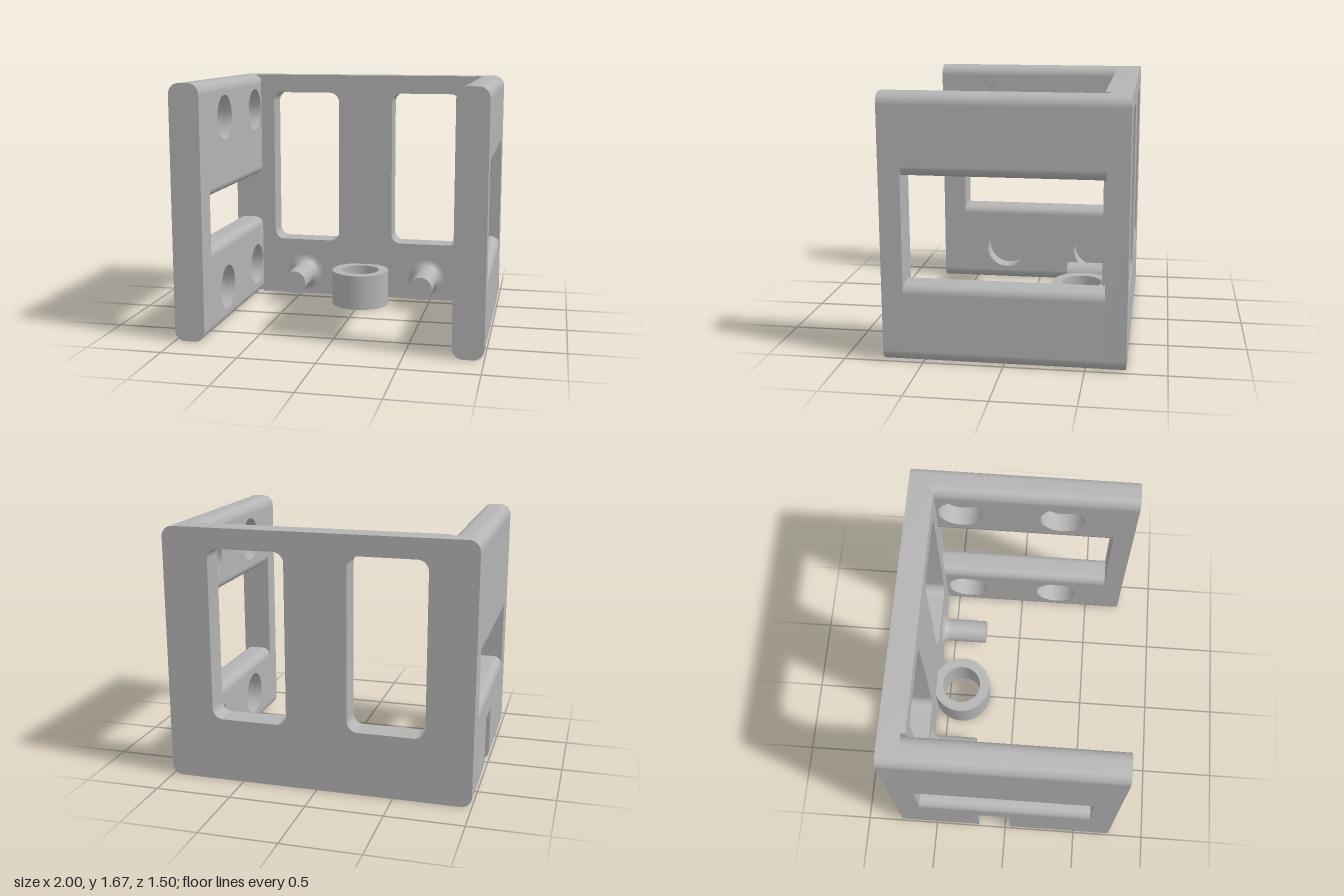
import * as THREE from 'three';
import { toCreasedNormals } from 'three/addons/utils/BufferGeometryUtils.js';

const grey = new THREE.MeshStandardMaterial({ color: 0xb4b4b4 });
grey.name = 'plain grey';

const FRONT = 0.75, BACK = -0.75, TOP = 1.67;
const PLATE = -0.585;   // front face of the back plate
const STEP = -0.615;    // where the side walls begin
const R = 0.07;         // edge rounding
const HOLES_Z = [0.26, -0.42], HOLE_R = 0.15;
const NOTCH = { z0: -0.19, z1: 0.035, top: 0.39 };

function add(parent, name, geometry) {
  const mesh = new THREE.Mesh(toCreasedNormals(geometry, 0.5), grey);
  mesh.name = name;
  parent.add(mesh);
  return mesh;
}

// Rectangle path with a separate radius for the lower and upper corners
function roundRect(path, x0, y0, x1, y1, rb, rt = rb) {
  path.moveTo(x0 + rb, y0);
  path.lineTo(x1 - rb, y0);
  if (rb) path.absarc(x1 - rb, y0 + rb, rb, -Math.PI / 2, 0, false);
  path.lineTo(x1, y1 - rt);
  if (rt) path.absarc(x1 - rt, y1 - rt, rt, 0, Math.PI / 2, false);
  path.lineTo(x0 + rt, y1);
  if (rt) path.absarc(x0 + rt, y1 - rt, rt, Math.PI / 2, Math.PI, false);
  path.lineTo(x0, y0 + rb);
  if (rb) path.absarc(x0 + rb, y0 + rb, rb, Math.PI, Math.PI * 1.5, false);
  return path;
}

function circle(path, x, y, r) {
  path.absarc(x, y, r, 0, Math.PI * 2, false);
  return path;
}

function extrude(shape, depth) {
  return new THREE.ExtrudeGeometry(shape, { depth, bevelEnabled: false, curveSegments: 12 });
}

// Extrude an x-y shape between two z positions
function alongZ(shape, z0, z1) {
  return extrude(shape, z1 - z0).translate(0, 0, z0);
}

// Extrude a z-y shape between two distances from the middle, on side s
function alongX(shape, s, a, b) {
  return extrude(shape, b - a).rotateY(-Math.PI / 2).translate(s > 0 ? b : -a, 0, 0);
}

// Horizontal bar of a side wall: rounded edges, blind holes inside, optional notch outside
function bar(parent, name, s, y0, y1, rb, rt, holeY, notched) {
  const group = new THREE.Group();
  group.name = name;
  parent.add(group);
  const lo = y0 + rb, hi = y1 - rt;

  // Flat layers from the inner face outwards
  const layers = [[0.8, 0.87, true, false], [0.87, 0.93, true, notched], [0.93, 1, false, notched]];
  for (const [a, b, holed, cut] of layers) {
    const shape = new THREE.Shape();
    shape.moveTo(STEP, lo);
    if (cut) {
      shape.lineTo(NOTCH.z0, lo);
      shape.lineTo(NOTCH.z0, NOTCH.top);
      shape.lineTo(NOTCH.z1, NOTCH.top);
      shape.lineTo(NOTCH.z1, lo);
    }
    shape.lineTo(FRONT, lo);
    shape.lineTo(FRONT, hi);
    shape.lineTo(STEP, hi);
    shape.closePath();
    if (holed) for (const z of HOLES_Z) shape.holes.push(circle(new THREE.Path(), z, holeY, HOLE_R));
    add(group, 'barLayer', alongX(shape, s, a, b));
  }

  // Rounded upper and lower edges
  const x0 = s > 0 ? 0.8 : -1, x1 = x0 + 0.2;
  const upper = roundRect(new THREE.Shape(), x0, hi, x1, y1, 0, rt);
  const lower = roundRect(new THREE.Shape(), x0, y0, x1, lo, rb, 0);
  add(group, 'upperEdge', alongZ(upper, STEP, FRONT));
  if (!notched) {
    add(group, 'lowerEdge', alongZ(lower, STEP, FRONT));
    return;
  }
  add(group, 'lowerEdgeBack', alongZ(lower, STEP, NOTCH.z0));
  add(group, 'lowerEdgeFront', alongZ(lower, NOTCH.z1, FRONT));
  const thin = new THREE.Shape();
  thin.moveTo(s * 0.8, lo);
  thin.quadraticCurveTo(s * 0.805, y0 + 0.01, s * 0.87, y0);
  thin.lineTo(s * 0.87, lo);
  thin.closePath();
  add(group, 'lowerEdgeNotch', alongZ(thin, NOTCH.z0, NOTCH.z1));
}

// Side wall with a long slot between two bars
function sideWall(parent, name, s, slotLow, slotHigh, slotBack, slotFront, notched) {
  const wall = new THREE.Group();
  wall.name = name;
  parent.add(wall);
  bar(wall, 'lowerBar', s, 0, slotLow, R, 0.06, 0.25, notched);
  bar(wall, 'upperBar', s, slotHigh, TOP, 0.06, R, TOP - 0.25, false);
  // Posts closing the slot, reaching past the rounded slot edges
  for (const [z0, z1] of [[STEP, slotBack], [slotFront, FRONT]]) {
    if (z1 - z0 < 0.001) continue;
    const post = roundRect(new THREE.Shape(), z0, slotLow - 0.06, z1, slotHigh + 0.06, 0);
    add(wall, 'post', alongX(post, s, 0.8, 1));
  }
}

export function createModel() {
  const model = new THREE.Group();
  model.name = 'bracket';

  // Back plate in two layers, both with the two windows
  for (const [name, half, r, z0, z1] of [['backPlate', 1, R, BACK, STEP], ['backPlateFace', 0.8, 0, STEP, PLATE]]) {
    const shape = roundRect(new THREE.Shape(), -half, 0, half, TOP, r);
    for (const x of [-0.7, 0.2]) shape.holes.push(roundRect(new THREE.Path(), x, 0.42, x + 0.5, 1.54, R));
    add(model, name, alongZ(shape, z0, z1));
  }

  // Side walls
  sideWall(model, 'leftWall', 1, 0.5, 1.17, STEP, 0.615, false);
  sideWall(model, 'rightWall', -1, 0.585, 0.92, -0.585, 0.585, true);

  // Pegs with a filleted foot
  const profile = [];
  for (let i = 0; i <= 8; i++) {
    const a = (i / 8) * Math.PI / 2;
    profile.push(new THREE.Vector2(0.138 - 0.055 * Math.sin(a), 0.055 - 0.055 * Math.cos(a)));
  }
  profile.push(new THREE.Vector2(0.083, 0.33), new THREE.Vector2(0, 0.33));
  for (const s of [-1, 1]) {
    const peg = new THREE.LatheGeometry(profile, 40).rotateX(Math.PI / 2);
    add(model, s > 0 ? 'leftPeg' : 'rightPeg', peg).position.set(s * 0.467, 0.165, PLATE);
  }

  // Upright ring against the back plate
  const ring = circle(new THREE.Shape(), 0, 0, 0.207);
  ring.holes.push(circle(new THREE.Path(), 0, 0, 0.137));
  const ringGeometry = new THREE.ExtrudeGeometry(ring, { depth: 0.25, bevelEnabled: false, curveSegments: 40 });
  add(model, 'ring', ringGeometry.rotateX(-Math.PI / 2)).position.set(0, 0, -0.4);

  return model;
}
